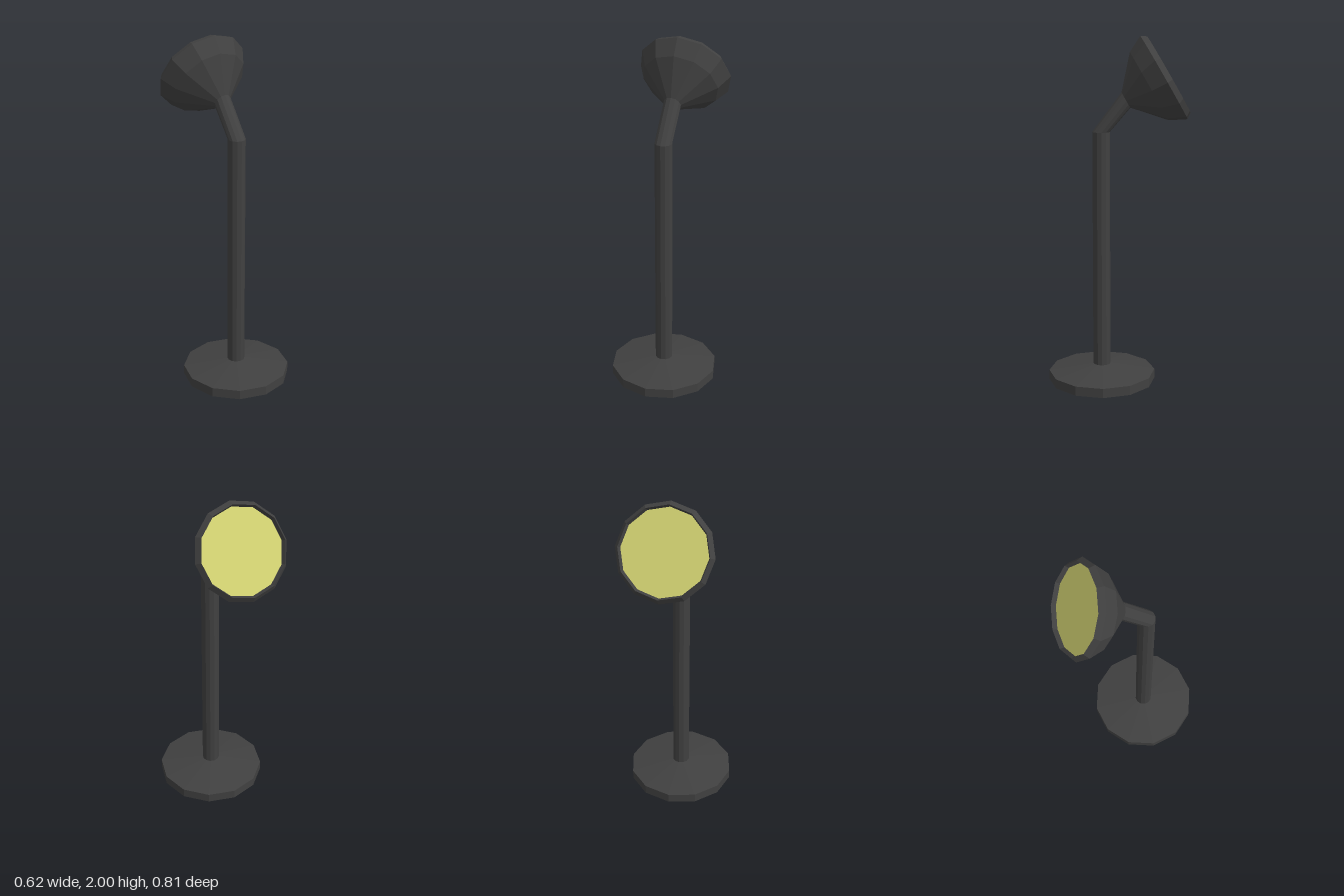
import * as THREE from 'three';

const SIDES = 12;
const POLE_Z = 0.097;        // base and pole axis
const BEND_Y = 1.47;         // where the pole bends into the neck
const TILT = -Math.PI / 3;   // lamp head leans back and up
const HEAD = new THREE.Vector3(0, 1.648, -0.0425);

const lathe = (points) =>
  new THREE.LatheGeometry(points.map(([r, y]) => new THREE.Vector2(r, y)), SIDES);

export function createModel() {
  const model = new THREE.Group();
  const darkMetal = new THREE.MeshStandardMaterial({ color: 0x404040, flatShading: true });
  const lampYellow = new THREE.MeshStandardMaterial({ color: 0xd0d070, flatShading: true });
  darkMetal.name = 'darkMetal';
  lampYellow.name = 'lampYellow';

  const add = (name, geometry, material, parent = model) => {
    const mesh = new THREE.Mesh(geometry, material);
    mesh.name = name;
    parent.add(mesh);
    return mesh;
  };

  // Round foot with a shallow conical top
  add('base', lathe([[0, 0], [0.31, 0], [0.31, 0.055], [0.05, 0.097], [0, 0.097]]), darkMetal)
    .position.z = POLE_Z;

  // Straight pole
  const poleHeight = BEND_Y - 0.08;
  add('pole', new THREE.CylinderGeometry(0.05, 0.05, poleHeight, SIDES, 1, true), darkMetal)
    .position.set(0, 0.08 + poleHeight / 2, POLE_Z);

  // Neck: the lower ring stays level, the upper ring follows the head's tilt
  const neck = new THREE.CylinderGeometry(0.05, 0.05, 1, SIDES, 1, true);
  const pos = neck.attributes.position;
  const axisX = new THREE.Vector3(1, 0, 0);
  const v = new THREE.Vector3();
  for (let i = 0; i < pos.count; i++) {
    v.fromBufferAttribute(pos, i);
    const upper = v.y > 0;
    v.y = 0;
    if (upper) v.applyAxisAngle(axisX, TILT).add(HEAD);
    else v.add(new THREE.Vector3(0, BEND_Y, POLE_Z));
    pos.setXYZ(i, v.x, v.y, v.z);
  }
  add('neck', neck, darkMetal);

  // Head: flared shade with a bevelled rim around a recessed light
  const head = new THREE.Group();
  head.name = 'head';
  head.position.copy(HEAD);
  head.rotation.x = TILT;
  model.add(head);
  add('shade', lathe([[0.05, 0], [0.22, 0.151], [0.268, 0.245], [0.246, 0.277], [0.236, 0.251]]),
    darkMetal, head);
  const light = add('light', new THREE.CircleGeometry(0.237, SIDES), lampYellow, head);
  light.rotation.x = -Math.PI / 2;
  light.position.y = 0.252;

  return model;
}
